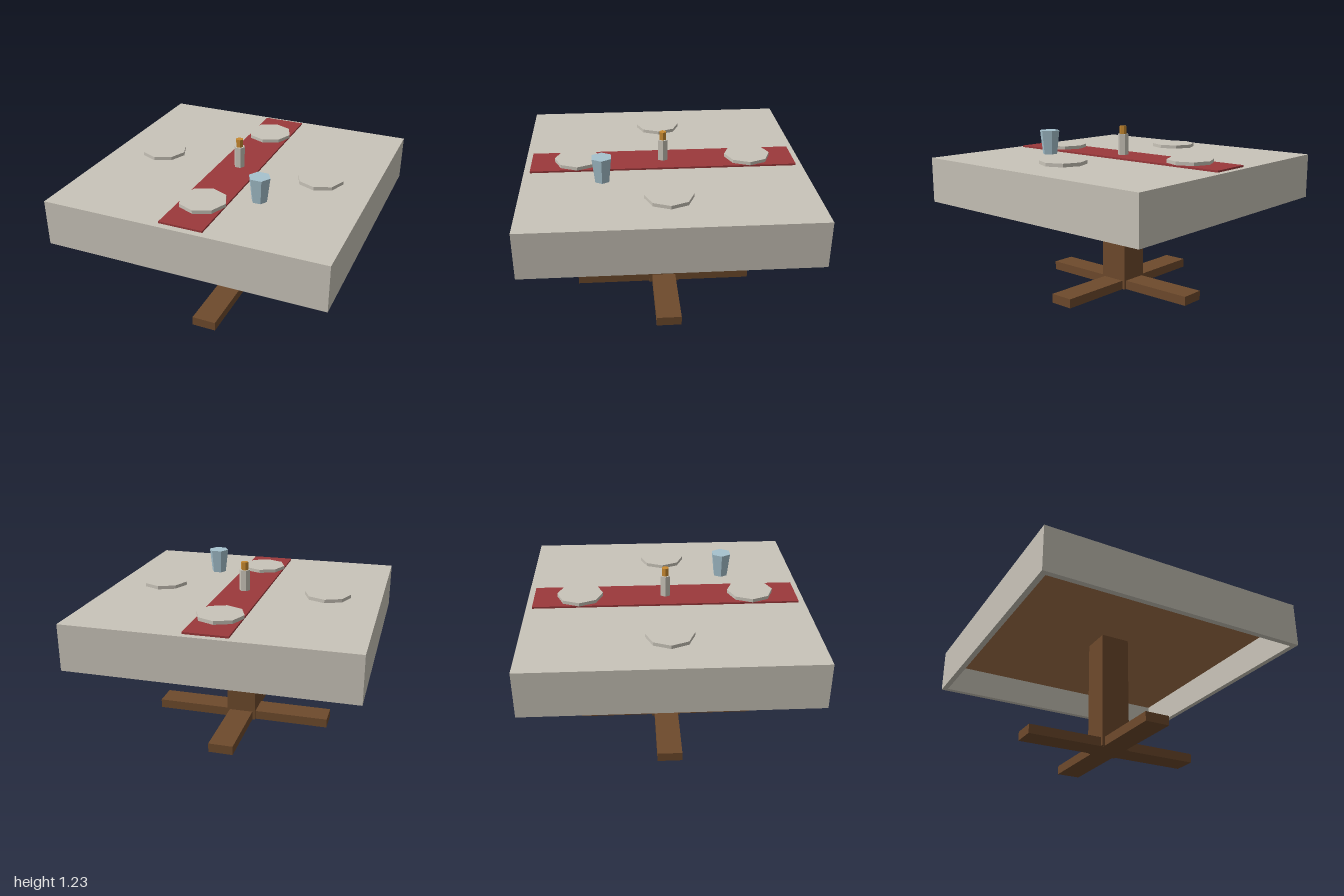
import * as THREE from 'three';

const paint = (name, color) => {
  const m = new THREE.MeshStandardMaterial({ color });
  m.name = name;
  return m;
};

export function createModel() {
  const linen = paint('linen', 0xc9c4b9);
  const darkWood = paint('darkWood', 0x6e4a2c);
  const lightWood = paint('lightWood', 0xa5734a);
  const red = paint('runnerRed', 0x9b393b);
  const blue = paint('glassBlue', 0xa6c2ce);
  const amber = paint('flameAmber', 0xc98a30);

  const model = new THREE.Group();
  model.name = 'diningTable';

  const add = (name, geometry, material, x, y, z) => {
    const mesh = new THREE.Mesh(geometry, material);
    mesh.name = name;
    mesh.position.set(x, y, z);
    model.add(mesh);
    return mesh;
  };
  // box given by its bottom and top heights
  const box = (name, material, w, d, y0, y1, x = 0, z = 0) =>
    add(name, new THREE.BoxGeometry(w, y1 - y0, d), material, x, (y0 + y1) / 2, z);
  // faceted upright prism with flat sides
  const prism = (name, material, rTop, rBottom, sides, y0, y1, x, z, turn = 0) => {
    const g = new THREE.CylinderGeometry(rTop, rBottom, y1 - y0, sides).rotateY(turn).toNonIndexed();
    g.computeVertexNormals();
    return add(name, g, material, x, (y0 + y1) / 2, z);
  };

  // crossed feet and square column
  box('footAcross', darkWood, 1.33, 0.18, 0, 0.067);
  box('footAlong', darkWood, 0.18, 1.33, 0, 0.067);
  box('column', darkWood, 0.22, 0.22, 0.001, 0.9);

  // wooden top hidden under the cloth
  box('tabletop', lightWood, 1.92, 1.92, 0.885, 0.965);

  // tablecloth: top sheet and hanging skirt
  box('clothTop', linen, 2, 2, 0.96, 1);
  const skirt = new THREE.Shape([[-1, -1], [1, -1], [1, 1], [-1, 1]].map(([x, y]) => new THREE.Vector2(x, y)));
  skirt.holes.push(new THREE.Path([[-1, -1], [-1, 1], [1, 1], [1, -1]].map(([x, y]) => new THREE.Vector2(x * 0.96, y * 0.96))));
  const skirtGeometry = new THREE.ExtrudeGeometry(skirt, { depth: 0.29, bevelEnabled: false }).rotateX(-Math.PI / 2);
  add('clothSkirt', skirtGeometry, linen, 0, 0.67, 0);

  box('runner', red, 0.31, 1.91, 1, 1.013);

  // one plate for each side
  for (const [x, z] of [[0.62, 0], [-0.62, 0], [0, 0.62], [0, -0.62]])
    prism('plate', linen, 0.166, 0.166, 8, 1.015, 1.04, x, z);

  // candle and drinking glass
  const turn = Math.PI / 6;
  prism('candle', linen, 0.04, 0.04, 6, 1.013, 1.168, 0, 0, turn);
  prism('flame', amber, 0.027, 0.027, 6, 1.168, 1.226, 0, 0, turn);
  prism('drinkingGlass', blue, 0.076, 0.055, 6, 1.013, 1.19, 0.332, 0.442, turn);

  return model;
}
